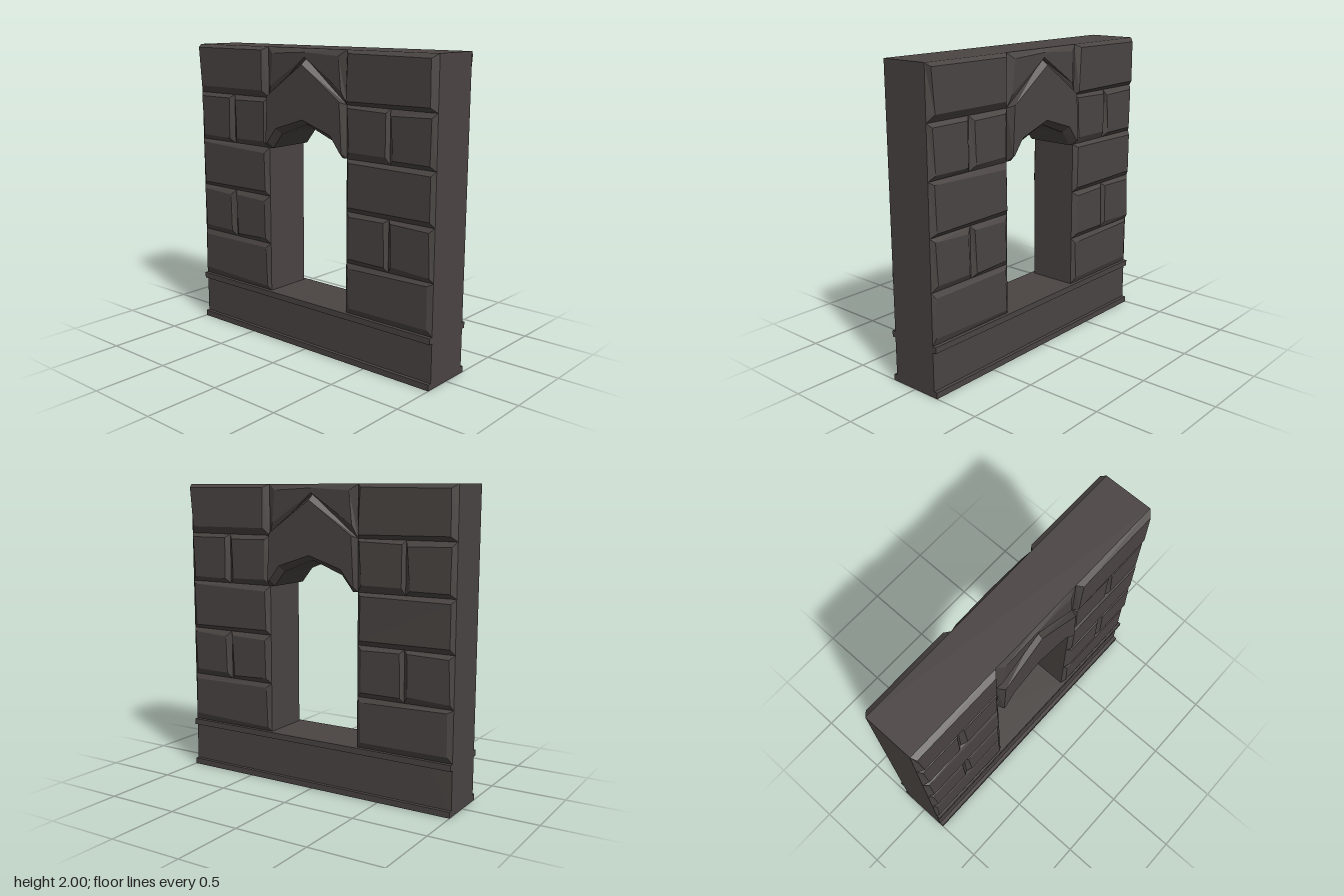
import * as THREE from 'three';

const CORE = 0.165; // half thickness of the wall behind the stones
const JAMB = 0.335; // half width of the opening, also the sill height

// Raised stone: an outline on the wall, bevelled out to a smaller flat face.
// Both outlines run counter-clockwise and have the same number of points.
function stoneGeometry(outer, inner, z) {
  const pos = [];
  const tri = (...pts) => pts.forEach((p) => pos.push(...p));
  const low = outer.map(([x, y]) => [x, y, CORE]);
  const high = inner.map(([x, y]) => [x, y, z]);
  low.forEach((a, i) => {
    const j = (i + 1) % low.length;
    tri(a, low[j], high[j]);
    tri(a, high[j], high[i]);
  });
  const contour = inner.map(([x, y]) => new THREE.Vector2(x, y));
  for (const [a, b, c] of THREE.ShapeUtils.triangulateShape(contour, [])) tri(high[a], high[b], high[c]);
  const g = new THREE.BufferGeometry();
  g.setAttribute('position', new THREE.Float32BufferAttribute(pos, 3));
  g.computeVertexNormals();
  return g;
}

// Completes a left-right symmetric line from its right half, which starts or ends at x = 0
const mirrored = (half) => half.filter(([x]) => x > 0).map(([x, y]) => [-x, y]).reverse();

// Small seeded generator for the uneven chiselled edges
function seeded(seed) {
  return () => {
    seed = (seed * 16807) % 2147483647;
    return seed / 2147483647;
  };
}

export function createModel() {
  const model = new THREE.Group();
  model.name = 'stoneArchWall';
  const stone = new THREE.MeshStandardMaterial({ color: 0x4a4543, flatShading: true });
  stone.name = 'darkStone';

  const add = (parent, name, geometry) => {
    const mesh = new THREE.Mesh(geometry, stone);
    mesh.name = name;
    parent.add(mesh);
    return mesh;
  };

  // Lower edge of the arch, left to right
  const soffitHalf = [[0, 1.52], [0.22, 1.435], [0.3, 1.335], [JAMB, 1.335]];
  const soffit = [...mirrored(soffitHalf), ...soffitHalf];

  // Wall core with the window opening
  const toVectors = (pts) => pts.map(([x, y]) => new THREE.Vector2(x, y));
  const wall = new THREE.Shape(toVectors([[-1, 0], [1, 0], [1, 2], [-1, 2]]));
  wall.holes.push(new THREE.Path(toVectors([[-JAMB, JAMB], ...soffit, [JAMB, JAMB]])));
  const core = new THREE.ExtrudeGeometry(wall, { depth: CORE * 2, bevelEnabled: false });
  core.translate(0, 0, -CORE);
  add(model, 'wallCore', core);

  const front = new THREE.Group();
  front.name = 'frontStonework';

  // Courses of stone beside the opening: one long stone, then two short ones
  const random = seeded(7);
  const inset = () => 0.015 + 0.025 * random();
  const depths = [0.182, 0.188, 0.19, 0.19, 0.2];
  const courseHeight = (2 - JAMB) / depths.length;
  depths.forEach((z, row) => {
    const y0 = JAMB + row * courseHeight;
    const y1 = y0 + courseHeight;
    const joints = row % 2 ? [JAMB, 0.667, 1] : [JAMB, 1];
    for (const side of [-1, 1]) {
      for (let i = 1; i < joints.length; i++) {
        const [x0, x1] = [side * joints[i - 1], side * joints[i]].sort((a, b) => a - b);
        const outer = [[x0, y0], [x1, y0], [x1, y1], [x0, y1]];
        const inner = outer.map(([x, y]) => [
          x + (x === x0 ? inset() : -inset()),
          y + (y === y0 ? 0.01 + inset() : -inset()),
        ]);
        add(front, 'stoneBlock', stoneGeometry(outer, inner, z));
      }
    }
  });

  // Pointed arch stone
  const archEdge = [[0, 1.552], [0.235, 1.475], [0.312, 1.375], [0.328, 1.37]];
  add(front, 'archStone', stoneGeometry(
    [...soffit, [JAMB, 1.667], [0, 1.935], [-JAMB, 1.667]],
    [...mirrored(archEdge), ...archEdge, [0.31, 1.685], [0, 1.9], [-0.31, 1.685]], 0.213));

  // Stone filling the space above the arch
  add(front, 'spandrelStone', stoneGeometry(
    [[-JAMB, 1.667], [0, 1.935], [JAMB, 1.667], [JAMB, 2], [0, 2], [-JAMB, 2]],
    [[-0.3, 1.75], [0, 1.945], [0.3, 1.75], [0.28, 1.96], [0, 1.975], [-0.28, 1.96]], 0.187));
  model.add(front);

  // The back carries the same stonework, turned around
  const back = front.clone();
  back.name = 'backStonework';
  back.rotation.y = Math.PI;
  model.add(back);

  // Thin ledges along the top and bottom of the base, front and back
  for (const side of [1, -1]) {
    for (const y of [0.02, 0.315]) {
      add(model, 'baseLedge', new THREE.BoxGeometry(2, 0.04, 0.025)).position.set(0, y, side * (CORE + 0.0125));
    }
  }
  return model;
}
